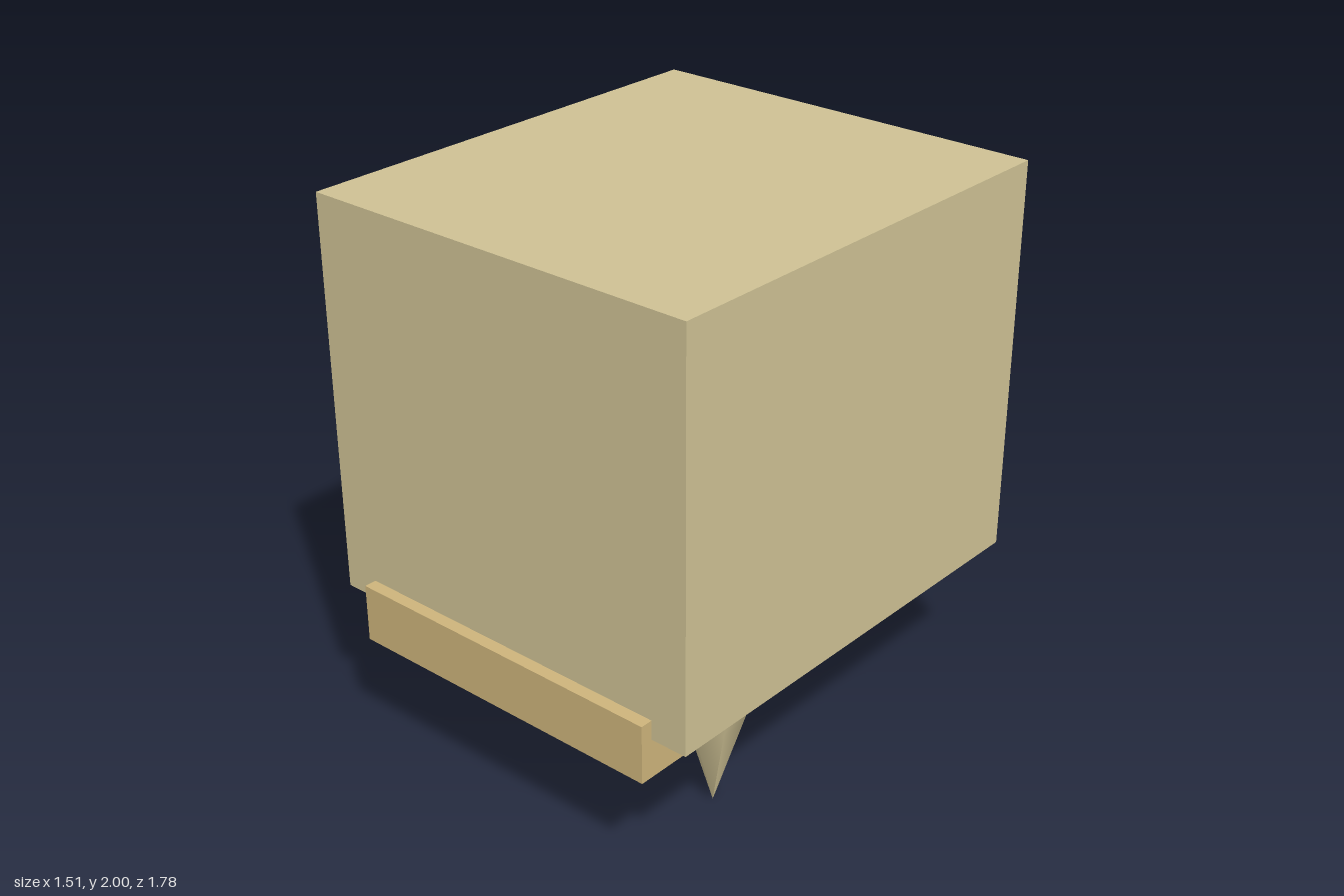
import * as THREE from 'three';

export function createModel() {
  const model = new THREE.Group();
  const sand = new THREE.MeshStandardMaterial({ name: 'sand', color: 0xcec194 });
  const tan = new THREE.MeshStandardMaterial({ name: 'tan', color: 0xcdb47b });

  const add = (name, geometry, material, x, y, z) => {
    const mesh = new THREE.Mesh(geometry, material);
    mesh.name = name;
    mesh.position.set(x, y, z);
    model.add(mesh);
  };

  // Large block, overlapping the narrower, longer plate below it
  add('block', new THREE.BoxGeometry(1.51, 1.42, 1.69), sand, 0, 1.29, 0);
  add('basePlate', new THREE.BoxGeometry(1.24, 0.21, 1.78), tan, 0, 0.545, 0);

  // Row of three smooth-shaded six-sided spikes pointing down, bases sunk in the plate
  const height = 0.645;
  const spike = new THREE.ConeGeometry(0.198, height, 6, 2).rotateX(Math.PI);
  ['rightSpike', 'middleSpike', 'leftSpike'].forEach((name, i) => {
    add(name, spike, sand, (i - 1) * 0.46, height / 2, 0.36);
  });

  return model;
}
